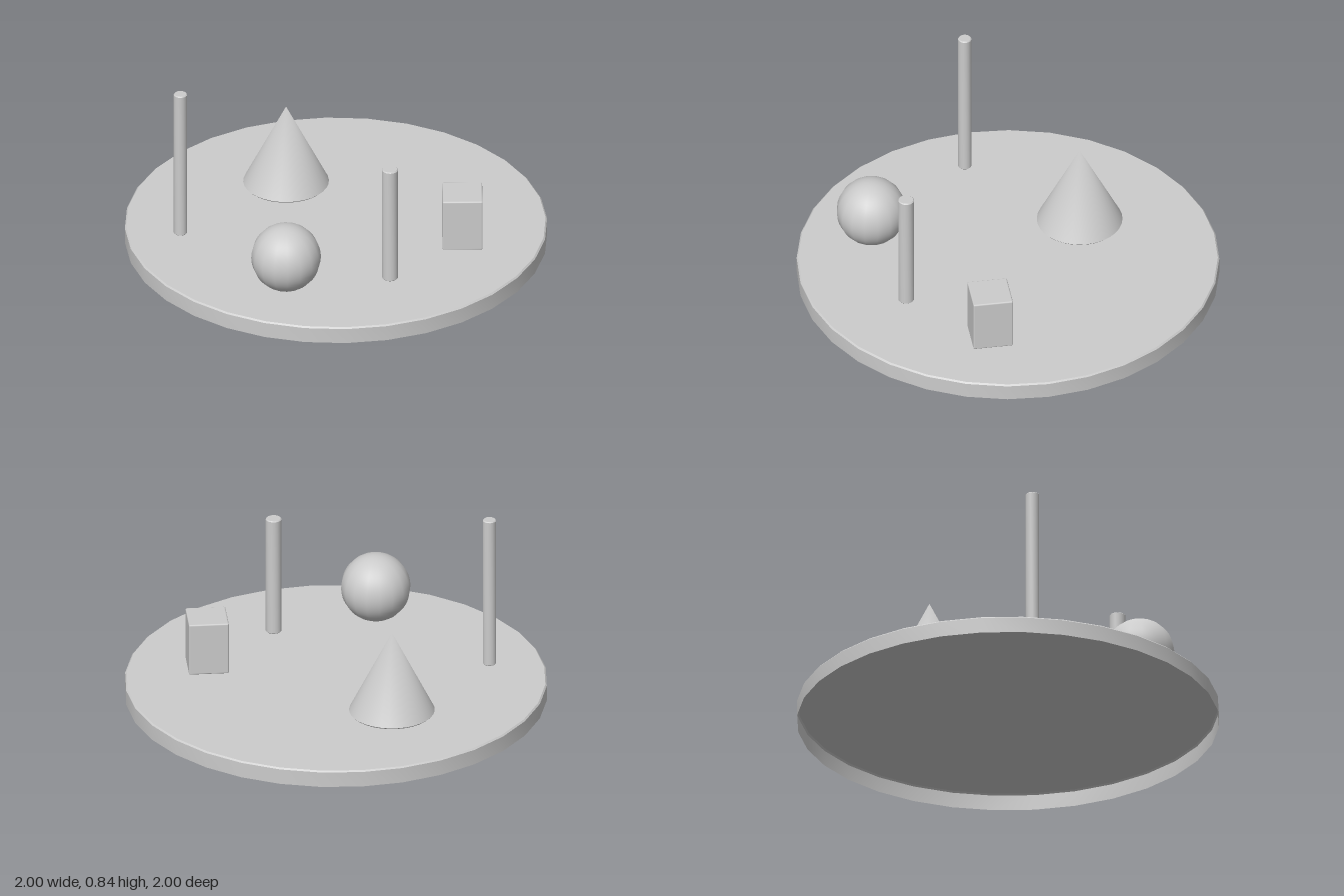
import * as THREE from 'three';
import { toCreasedNormals } from 'three/addons/utils/BufferGeometryUtils.js';
import { RoundedBoxGeometry } from 'three/addons/geometries/RoundedBoxGeometry.js';

const BASE_TOP = 0.083;
const BEVEL = 0.007;

// Turned solid from [radius, height] points listed bottom to top
function turned(points, sides) {
  const profile = points.map(([r, y]) => new THREE.Vector2(r, y));
  return toCreasedNormals(new THREE.LatheGeometry(profile, sides), 0.6);
}

// Upright pole with bevelled ends
function pole(r, h) {
  const b = BEVEL * 0.6;
  return turned([[0, 0], [r - b, 0], [r, b], [r, h - b], [r - b, h], [0, h]], 16);
}

// Cone with a bevelled foot and a softly shaded tip
function cone(r, h) {
  const geometry = turned([[0, 0], [r - BEVEL, 0], [r, BEVEL], [0, h]], 32);
  const { position, normal } = geometry.attributes;
  for (let i = 0; i < position.count; i++) {
    if (position.getY(i) > h - 0.001) normal.setXYZ(i, 0, 1, 0);
  }
  return geometry;
}

export function createModel() {
  const group = new THREE.Group();
  const material = new THREE.MeshStandardMaterial({ color: 0xcccccc });

  function add(name, geometry, x, y, z) {
    const mesh = new THREE.Mesh(geometry, material);
    mesh.name = name;
    mesh.position.set(x, y, z);
    group.add(mesh);
    return mesh;
  }

  // Round platform: a shallow shell, open underneath
  const shell = [[1, 0], [1, BASE_TOP - BEVEL], [1 - BEVEL, BASE_TOP], [0, BASE_TOP]];
  const base = add('base', turned(shell, 32), 0, 0, 0);
  base.material = material.clone();
  base.material.side = THREE.DoubleSide;

  // Solids standing on the platform
  add('cone', cone(0.203, 0.412), -0.35, 0.086, -0.275);
  add('ball', new THREE.SphereGeometry(0.165, 16, 32), -0.013, 0.251, 0.662);
  const block = add('block', new RoundedBoxGeometry(0.19, 0.262, 0.19, 2, BEVEL), 0.621, 0.217, -0.04);
  block.rotation.y = 0.36;

  // Two upright poles
  add('rightPole', pole(0.032, 0.842 - BASE_TOP), -0.659, BASE_TOP, 0.342);
  add('leftPole', pole(0.038, 0.677 - BASE_TOP), 0.418, BASE_TOP, 0.407);

  return group;
}
